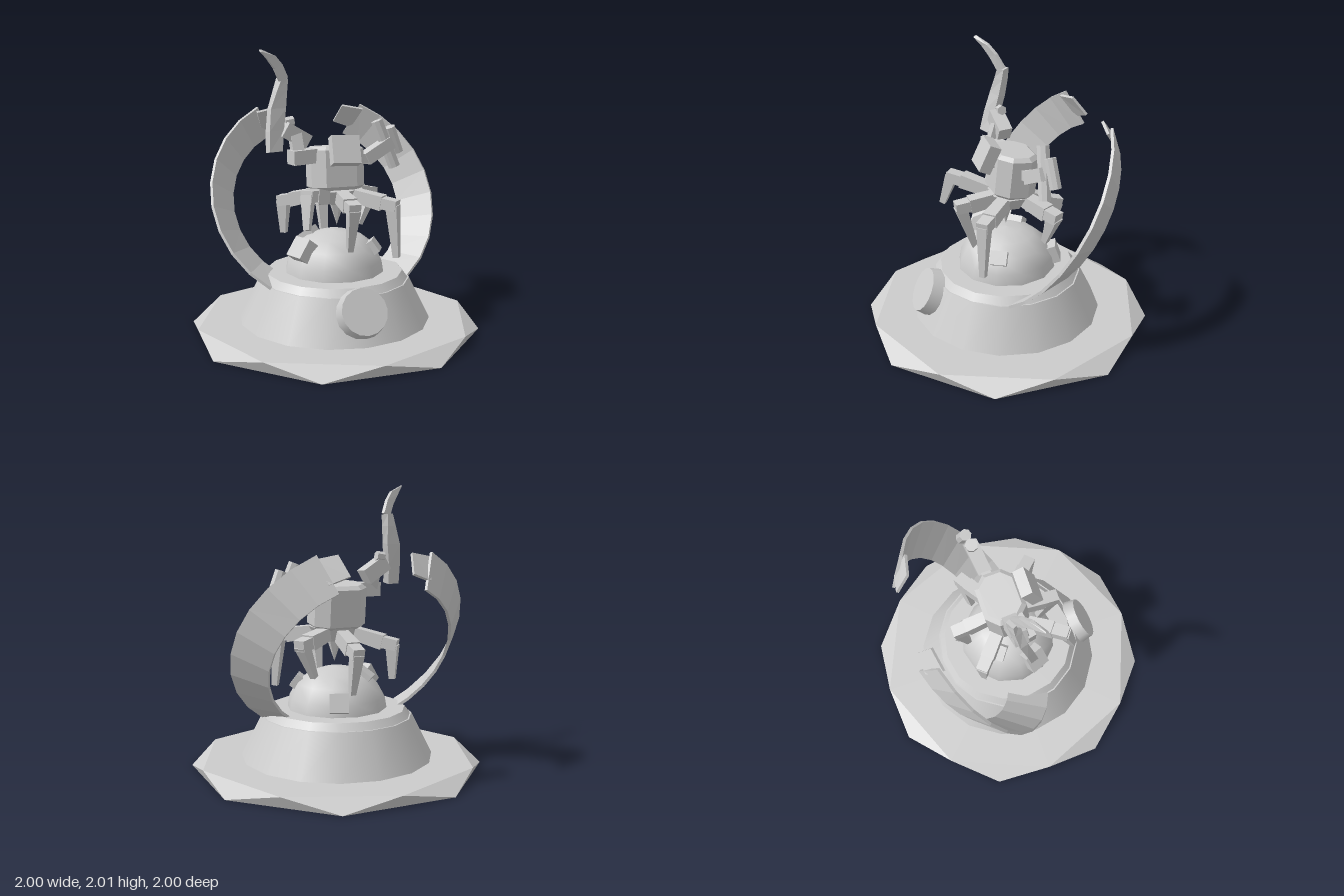
import * as THREE from 'three';

const V = (x, y, z) => new THREE.Vector3(x, y, z);

export function createModel() {
  const group = new THREE.Group();
  const stone = new THREE.MeshStandardMaterial({ color: 0xcccccc });
  stone.name = 'pale grey';

  const add = (name, geometry, flat = true) => {
    let g = geometry;
    if (flat) {
      g = g.index ? g.toNonIndexed() : g;
      g.computeVertexNormals();
    }
    const mesh = new THREE.Mesh(g, stone);
    mesh.name = name;
    group.add(mesh);
    return mesh;
  };

  // Places a y-aligned geometry between two points, its x axis close to side
  const align = (g, a, b, side) => {
    const y = b.clone().sub(a).normalize();
    const z = side.clone().cross(y).normalize();
    const x = y.clone().cross(z);
    return g.applyMatrix4(new THREE.Matrix4().makeBasis(x, y, z)
      .setPosition(a.clone().add(b).multiplyScalar(0.5)));
  };

  // Tapered box: width w and depth d, shrinking to the given ratio at b
  const beam = (name, a, b, w, d, taper = 1, side = V(0, 0, 1)) => {
    const g = new THREE.CylinderGeometry(taper * Math.SQRT1_2, Math.SQRT1_2, a.distanceTo(b), 4)
      .rotateY(Math.PI / 4).scale(w, 1, d);
    return add(name, align(g, a, b, side));
  };

  const tube = (name, a, b, r, sides = 8) =>
    add(name, align(new THREE.CylinderGeometry(r, r, a.distanceTo(b), sides), a, b, V(0, 0, 1)));

  // Thin solid band between two edge lines
  const strip = (name, A, B, t) => {
    const pos = [], idx = [], n = A.length;
    for (let i = 0; i < n; i++) {
      const tangent = A[Math.min(i + 1, n - 1)].clone().sub(A[Math.max(i - 1, 0)]);
      const off = tangent.cross(B[i].clone().sub(A[i])).normalize().multiplyScalar(t);
      for (const p of [A[i], B[i], B[i].clone().add(off), A[i].clone().add(off)]) pos.push(p.x, p.y, p.z);
      if (i === n - 1) continue;
      for (let j = 0; j < 4; j++) {
        const p = i * 4 + j, q = i * 4 + (j + 1) % 4;
        idx.push(p, q, q + 4, p, q + 4, p + 4);
      }
    }
    const e = (n - 1) * 4;
    idx.push(0, 3, 2, 0, 2, 1, e, e + 1, e + 2, e, e + 2, e + 3);
    const g = new THREE.BufferGeometry();
    g.setAttribute('position', new THREE.Float32BufferAttribute(pos, 3));
    g.setIndex(idx);
    return add(name, g);
  };

  // Ground slab: an octagon over a slightly larger, twisted octagon
  {
    const pos = [0, 0.08, 0, 0, 0, 0], idx = [];
    for (let i = 0; i < 8; i++) {
      const a = i * Math.PI / 4, b = a + Math.PI / 8;
      pos.push(Math.sin(a), 0.08, Math.cos(a), 1.05 * Math.sin(b), 0, 1.05 * Math.cos(b));
      const t = 2 + i * 2, u = t + 1, t2 = 2 + ((i + 1) % 8) * 2, u2 = t2 + 1;
      idx.push(0, t, t2, 1, u2, u, t, u, t2, t2, u, u2);
    }
    const g = new THREE.BufferGeometry();
    g.setAttribute('position', new THREE.Float32BufferAttribute(pos, 3));
    g.setIndex(idx);
    add('groundSlab', g);
  }

  // Pedestal, rim and dome
  const pedestal = add('pedestal', new THREE.CylinderGeometry(0.54, 0.69, 0.3, 16), false);
  pedestal.position.y = 0.23;
  const rim = add('pedestalRim', new THREE.CylinderGeometry(0.49, 0.53, 0.05, 16), false);
  rim.position.y = 0.405;
  const domeProfile = [[0.36, 0.42], [0.345, 0.51], [0.29, 0.61], [0.2, 0.68], [0.1, 0.715], [0, 0.725]];
  add('dome', new THREE.LatheGeometry(domeProfile.map(p => new THREE.Vector2(...p)), 12), false);

  // Blocks set into the dome
  const core = V(0, 0.4, 0);
  for (const [x, y, z, w, d] of [[-0.31, 0.65, 0.13, 0.15, 0.15], [0.27, 0.63, 0.15, 0.12, 0.1],
    [0.14, 0.54, -0.35, 0.13, 0.13], [-0.17, 0.7, -0.14, 0.12, 0.12]]) {
    const end = V(x, y, z);
    beam('domeBlock', core.clone().lerp(end, 0.7), end, w, d, 1, V(z, 0, -x));
  }

  // Round boss on the sloping front
  const boss = add('frontBoss', new THREE.CylinderGeometry(0.16, 0.178, 0.1, 16), false);
  boss.position.set(0, 0.29, 0.595);
  boss.rotation.x = 1.08;

  // Two flared arcs leaning back around the figure, each with an end plate
  const edgePoint = (s, R, cy, cz, deg) => {
    const a = deg * Math.PI / 180, u = R * Math.sin(a);
    return V(s * R * Math.cos(a), cy + 0.845 * u, cz - 0.535 * u);
  };
  for (const s of [1, -1]) {
    const front = [], back = [];
    for (let i = 0; i <= 9; i++) {
      const k = i / 9;
      front.push(edgePoint(s, 0.835, 0.94, -0.2, -53 + 114 * k));
      back.push(edgePoint(s, 0.645, 0.84, -0.4, -54 + 116 * k));
    }
    const tipFront = [V(s * 0.42, 1.52, -0.56), V(s * 0.26, 1.55, -0.59)];
    const tipBack = [V(s * 0.36, 1.37, -0.67), V(s * 0.22, 1.42, -0.69)];
    const side = s > 0 ? 'left' : 'right';
    if (s > 0) {
      strip(side + 'Arc', back, front, 0.02);
      strip(side + 'ArcTip', tipBack, tipFront, 0.02);
    } else {
      strip(side + 'Arc', front, back, 0.02);
      strip(side + 'ArcTip', tipFront, tipBack, 0.02);
    }
  }

  // Body: chamfered block leaning back, belly and spike below
  const w = 0.165, d = 0.12, c = 0.065;
  const outline = new THREE.Shape([[-w + c, -d], [w - c, -d], [w, -d + c], [w, d - c],
    [w - c, d], [-w + c, d], [-w, d - c], [-w, -d + c]].map(p => new THREE.Vector2(...p)));
  const body = add('body', new THREE.ExtrudeGeometry(outline, {
    depth: 0.26, bevelThickness: 0.025, bevelSize: 0.03, bevelSegments: 1 }).rotateX(-Math.PI / 2));
  body.position.set(0.015, 1.04, -0.02);
  body.rotation.x = -0.1;
  const belly = add('belly', new THREE.CylinderGeometry(0.2, 0.13, 0.1, 8).rotateY(Math.PI / 8).scale(1, 1, 0.75));
  belly.position.set(0.015, 0.97, -0.015);
  const spike = add('bellySpike', new THREE.ConeGeometry(0.075, 0.22, 6).rotateX(Math.PI));
  spike.position.set(0.015, 0.87, 0.01);

  // Head
  const head = add('head', new THREE.BoxGeometry(0.2, 0.2, 0.085));
  head.position.set(0.025, 1.315, 0.155);
  head.rotation.set(-0.42, 0, -0.05);
  beam('neck', V(0.02, 1.25, 0.05), V(0.025, 1.3, 0.14), 0.1, 0.1, 1, V(1, 0, 0));

  // Six legs: hip, knee, foot
  const legs = [
    [V(0.02, 0.98, 0.08), V(0.02, 0.94, 0.35), V(0.03, 0.62, 0.25)],
    [V(-0.1, 0.98, 0.08), V(-0.29, 1.05, 0.32), V(-0.32, 0.83, 0.39)],
    [V(0.13, 0.98, 0.06), V(0.34, 0.93, 0.27), V(0.365, 0.56, 0.29)],
    [V(-0.1, 0.97, -0.1), V(-0.3, 0.9, -0.28), V(-0.3, 0.66, -0.28)],
    [V(0.13, 0.98, -0.1), V(0.36, 0.93, -0.23), V(0.26, 0.7, -0.2)],
    [V(0.02, 0.97, -0.1), V(0.02, 0.87, -0.37), V(0.02, 0.58, -0.3)],
  ];
  for (const [hip, knee, foot] of legs) {
    const out = V(knee.x - hip.x, 0, knee.z - hip.z).normalize();
    const side = V(out.z, 0, -out.x);
    beam('thigh', hip, hip.clone().lerp(knee, 0.75), 0.085, 0.09, 1.15, side);
    beam('kneeBlock', hip.clone().lerp(knee, 0.65), knee.clone().addScaledVector(out, 0.035), 0.09, 0.08, 0.95, side);
    beam('shin', knee, foot, 0.08, 0.085, 0.5, side);
  }

  // Left arm with twin barrels
  beam('leftUpperArm', V(0.17, 1.2, -0.07), V(0.3, 1.23, -0.08), 0.07, 0.07);
  beam('leftForearm', V(0.26, 1.21, -0.08), V(0.47, 1.32, -0.12), 0.1, 0.09);
  tube('longBarrel', V(0.37, 1.48, -0.13), V(0.5, 1.14, -0.1), 0.045);
  tube('shortBarrel', V(0.475, 1.43, -0.14), V(0.55, 1.24, -0.155), 0.042);

  // Right arm
  beam('rightShoulder', V(-0.15, 1.27, 0), V(-0.33, 1.265, 0.04), 0.11, 0.1);
  beam('rightUpperArm', V(-0.19, 1.36, -0.05), V(-0.36, 1.46, -0.03), 0.1, 0.11);
  beam('rightElbow', V(-0.27, 1.27, 0.02), V(-0.28, 1.42, -0.03), 0.08, 0.08);
  tube('rightWristPin', V(-0.34, 1.5, -0.06), V(-0.28, 1.51, -0.06), 0.035, 6);

  // Curved blade held upright, then its swept tip
  strip('bladeLower',
    [V(-0.48, 1.31, 0.05), V(-0.47, 1.45, 0.02), V(-0.45, 1.6, -0.02), V(-0.4, 1.72, -0.04), V(-0.365, 1.8, -0.05)],
    [V(-0.38, 1.31, 0.02), V(-0.36, 1.45, -0.02), V(-0.335, 1.6, -0.05), V(-0.32, 1.72, -0.07), V(-0.31, 1.8, -0.08)],
    0.055);
  strip('bladeTip',
    [V(-0.37, 1.78, -0.05), V(-0.42, 1.87, -0.01), V(-0.48, 1.94, 0.03), V(-0.545, 1.99, 0.07)],
    [V(-0.31, 1.81, -0.08), V(-0.36, 1.9, -0.035), V(-0.42, 1.96, 0.01), V(-0.53, 1.99, 0.07)],
    0.025);

  return group;
}
